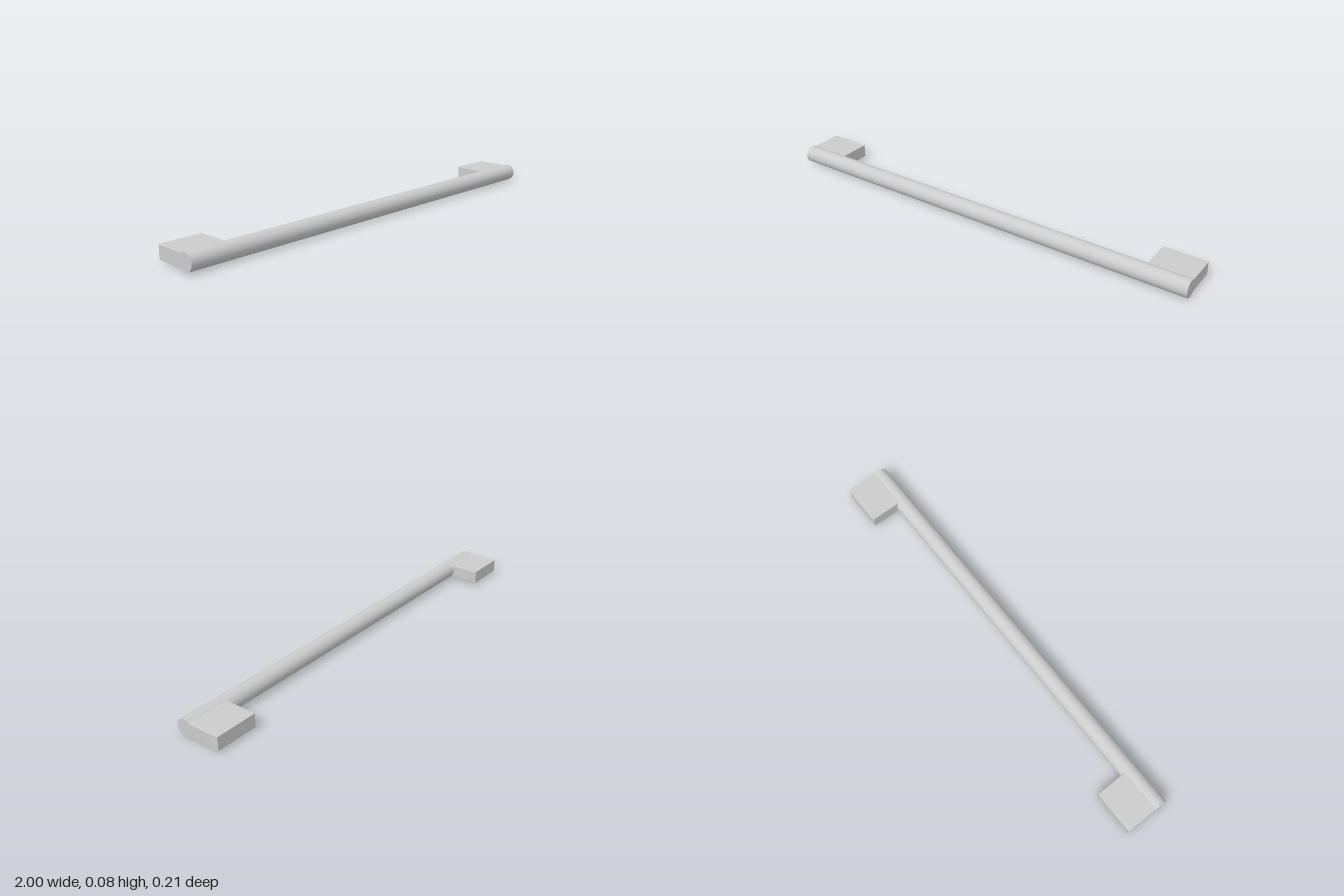
import * as THREE from 'three';
import { RoundedBoxGeometry } from 'three/addons/geometries/RoundedBoxGeometry.js';

export function createModel() {
  const model = new THREE.Group();
  model.name = 'barHandle';
  const material = new THREE.MeshStandardMaterial({ color: 0xcccccc });

  const radius = 0.039;
  const barZ = 0.065;

  // Round grip bar along x
  const bar = new THREE.Mesh(new THREE.CylinderGeometry(radius, radius, 2, 64), material);
  bar.name = 'gripBar';
  bar.rotation.z = Math.PI / 2;
  bar.position.set(0, radius, barZ);
  model.add(bar);

  // Mounting blocks at both ends, softly eased edges, sunk into the bar
  const back = -0.104, front = 0.055, inner = 0.805, outer = 0.9995;
  const blockGeometry = new RoundedBoxGeometry(outer - inner, 0.062, front - back, 3, 0.003);
  for (const side of [1, -1]) {
    const block = new THREE.Mesh(blockGeometry, material);
    block.name = side > 0 ? 'leftMountingBlock' : 'rightMountingBlock';
    block.position.set(side * (inner + outer) / 2, radius + 0.001, (front + back) / 2);
    model.add(block);
  }

  return model;
}
